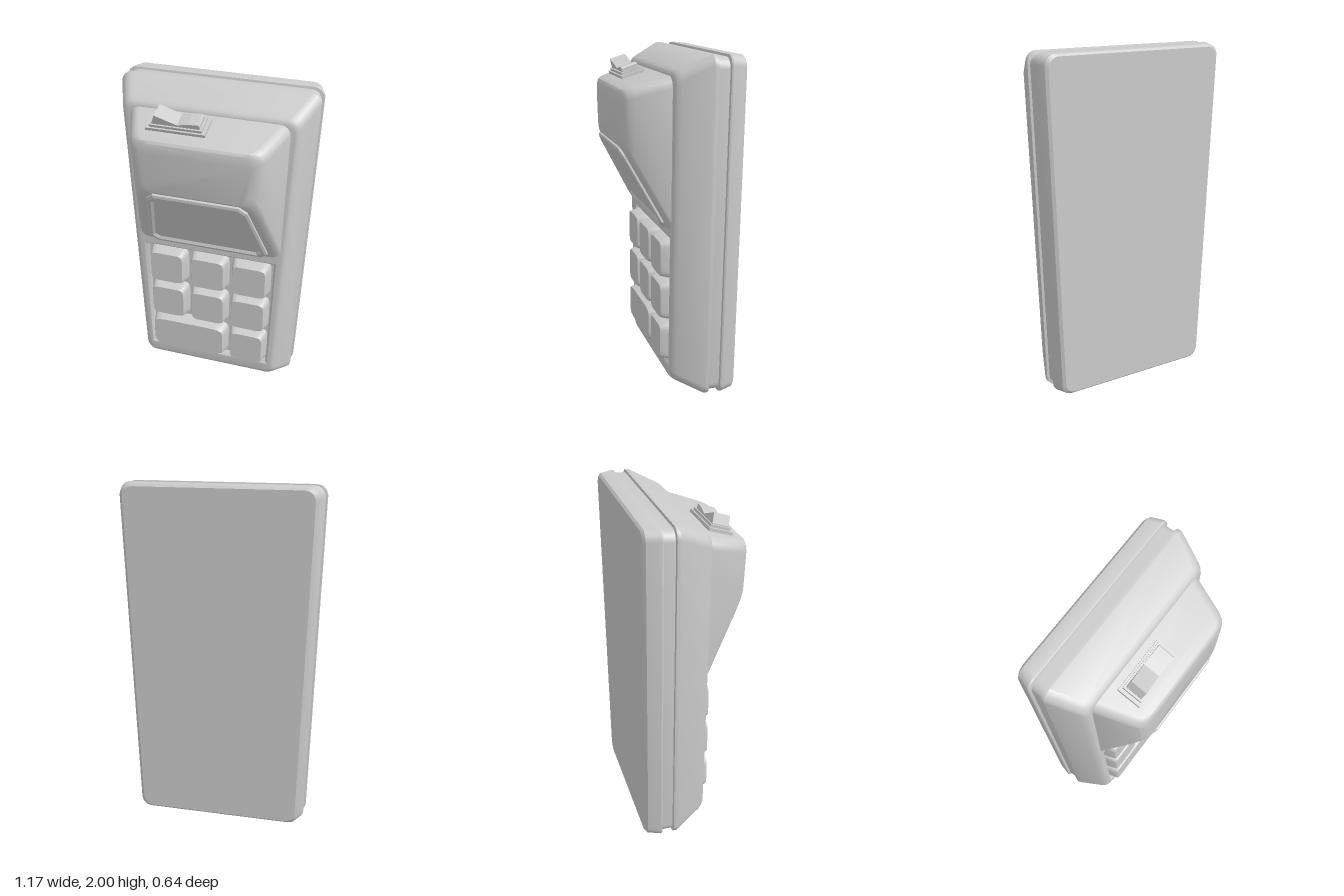
import * as THREE from 'three';
import { toCreasedNormals } from 'three/addons/utils/BufferGeometryUtils.js';

const material = new THREE.MeshStandardMaterial({ color: 0xcccccc });

// Rounded trapezoid loop, counter-clockwise seen from +z (w0, w1: half widths at y0, y1)
function trapezoid(z, y0, y1, w0, w1, r, seg = 5) {
  const corners = [
    [w1 - r, y1 - r], [-(w1 - r), y1 - r], [-(w0 - r), y0 + r], [w0 - r, y0 + r],
  ];
  const loop = [];
  corners.forEach(([cx, cy], c) => {
    for (let i = 0; i <= seg; i++) {
      const a = (c + i / seg) * Math.PI / 2;
      loop.push([cx + r * Math.cos(a), cy + r * Math.sin(a), z]);
    }
  });
  return loop;
}

// Barrel-sided rectangle loop
function barrel(z, hw, hh, power = 7, count = 48) {
  const bend = (v) => Math.sign(v) * Math.abs(v) ** (2 / power);
  return Array.from({ length: count }, (_, i) => {
    const a = (i + 0.5) / count * Math.PI * 2;
    return [hw * bend(Math.cos(a)), hh * bend(Math.sin(a)), z];
  });
}

// Skin through equal-length loops, closed with a cap at both ends
function loft(loops, crease = 0.5) {
  const n = loops[0].length;
  const pos = loops.flat(2);
  const index = [];
  for (let k = 0; k < loops.length - 1; k++) {
    for (let i = 0; i < n; i++) {
      const a = k * n + i, b = k * n + (i + 1) % n;
      index.push(a, b, b + n, a, b + n, a + n);
    }
  }
  const last = (loops.length - 1) * n;
  for (let i = 1; i < n - 1; i++) {
    index.push(0, i + 1, i, last, last + i, last + i + 1);
  }
  const geometry = new THREE.BufferGeometry();
  geometry.setAttribute('position', new THREE.Float32BufferAttribute(pos, 3));
  geometry.setIndex(index);
  return toCreasedNormals(geometry, crease);
}

function addMesh(parent, name, geometry, x = 0, y = 0, z = 0) {
  const mesh = new THREE.Mesh(geometry, material);
  mesh.name = name;
  mesh.position.set(x, y, z);
  parent.add(mesh);
  return mesh;
}

// Case: back shell, groove, bevelled front, then down into the keypad recess
function caseGeometry() {
  const shell = [ // z, side inset, end inset
    [-0.325, 0.04, 0.02], [-0.312, 0.023, 0.008], [-0.235, 0, 0], [-0.226, 0.003, 0.003],
    [-0.222, 0.016, 0.016], [-0.16, 0.016, 0.016], [-0.156, 0.002, 0.002], [-0.135, 0, 0.002],
    [0.025, 0.065, 0.08], [0.045, 0.077, 0.093], [0.056, 0.088, 0.106], [0.06, 0.1, 0.12],
  ];
  const loops = shell.map(([z, dx, dy]) =>
    trapezoid(z, dy, 2 - dy, 0.515 - dx, 0.585 - dx, 0.06));
  const recess = [[0.06, 0], [0.045, 0.014], [0.02, 0.016]];
  for (const [z, d] of recess) {
    loops.push(trapezoid(z, 0.175 + d, 0.975 - d, 0.395 - d, 0.42 - d, 0.004));
  }
  return loft(loops);
}

// Hood: tapers forward, with its underside sloping up to the front
function hoodGeometry() {
  const rings = [ // z, side inset, top
    [0.05, 0, 1.883], [0.06, 0, 1.88], [0.25, 0.07, 1.823],
    [0.285, 0.09, 1.811], [0.301, 0.112, 1.802], [0.31, 0.145, 1.786],
  ];
  return loft(rings.map(([z, d, top]) =>
    trapezoid(z, 1.02 + 1.88 * (z - 0.06), top, 0.443 - d, 0.462 - d, 0.06)), 0.45);
}

// Screen: chamfered bezel stepping down to a sunken pane
function screenGeometry() {
  const rings = [[-0.02, 0], [0.012, 0], [0.02, 0.014], [0.02, 0.03], [0.006, 0.044]];
  return loft(rings.map(([z, d]) =>
    trapezoid(z, d, 0.522 - d, 0.372 - d, 0.295 - d * 0.85, 0.045 - d * 0.4, 1)), 0.1);
}

function keyGeometry(hw, hh) {
  const rings = [[0.02, 0], [0.05, 0.006], [0.09, 0.016], [0.1, 0.021]];
  return loft(rings.map(([z, d]) => barrel(z, hw - d, hh - d)), 0.4);
}

// Rocker switch: two stepped plates and a bent rocker
function createSwitch() {
  const group = new THREE.Group();
  group.name = 'rockerSwitch';
  addMesh(group, 'switchPlate', new THREE.BoxGeometry(0.34, 0.04, 0.138), 0, 0, 0);
  addMesh(group, 'switchCollar', new THREE.BoxGeometry(0.3, 0.03, 0.116), 0, 0.02, 0);
  const profile = new THREE.Shape([
    [-0.137, 0], [0.137, 0], [0.137, 0.055], [0.13, 0.064], [0.07, 0.06],
    [0.01, 0.046], [-0.115, 0.094], [-0.137, 0.04],
  ].map(([x, y]) => new THREE.Vector2(x, y)));
  const rocker = new THREE.ExtrudeGeometry(profile, { depth: 0.096, bevelEnabled: false });
  rocker.translate(0, 0, -0.048);
  addMesh(group, 'rocker', rocker);
  return group;
}

export function createModel() {
  const model = new THREE.Group();
  model.name = 'handheldKeypad';

  addMesh(model, 'case', caseGeometry());
  addMesh(model, 'hood', hoodGeometry());

  const screen = addMesh(model, 'screen', screenGeometry(), 0, 1.02, 0.06);
  screen.rotation.x = Math.atan2(0.25, 0.47);

  const rockerSwitch = createSwitch();
  rockerSwitch.position.set(-0.135, 1.846, 0.165);
  rockerSwitch.rotation.x = 0.3;
  model.add(rockerSwitch);

  // Keypad: three rows, the last one starting with a double-width key
  const keypad = new THREE.Group();
  keypad.name = 'keypad';
  const key = keyGeometry(0.123, 0.123);
  [0.83, 0.57, 0.31].forEach((y, row) => {
    const pitch = 0.264 - row * 0.003;
    for (const column of row < 2 ? [-1, 0, 1] : [1]) {
      addMesh(keypad, 'key', key, column * pitch, y, 0);
    }
  });
  addMesh(keypad, 'wideKey', keyGeometry(0.253, 0.123), -0.13, 0.31, 0);
  model.add(keypad);

  return model;
}
